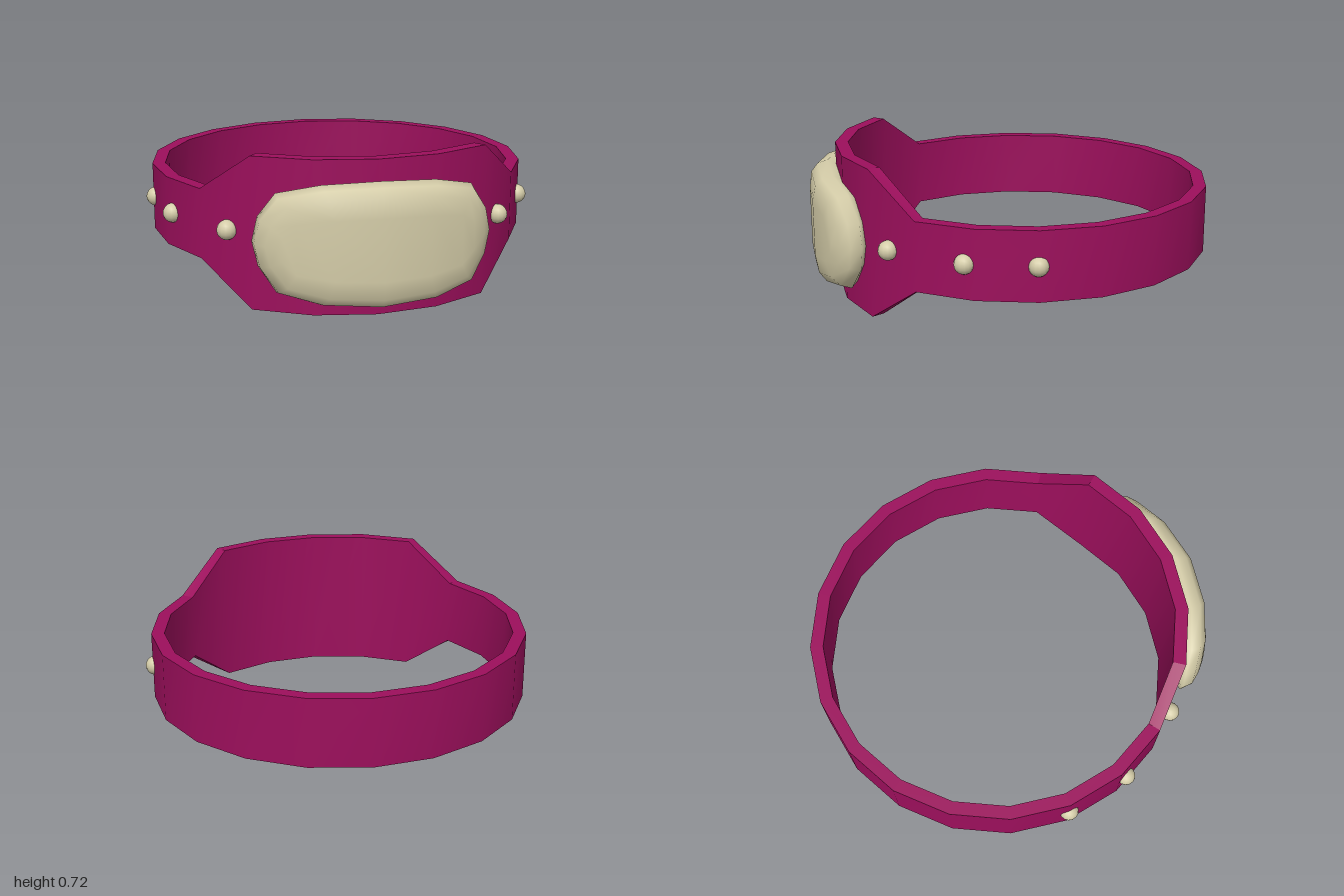
import * as THREE from 'three';
import { toCreasedNormals } from 'three/addons/utils/BufferGeometryUtils.js';

const SIDES = 20, OUTER = 0.93, INNER = 0.866, CENTRE_Z = -0.07;

function gridGeometry(points, quads) {
  const geo = new THREE.BufferGeometry();
  geo.setAttribute('position', new THREE.Float32BufferAttribute(points.flat(), 3));
  geo.setIndex(quads.flatMap(([a, b, c, d]) => [a, b, c, a, c, d]));
  return geo;
}

// Closed strap: a rectangular section swept round, taller over the front
function strapGeometry() {
  const points = [], quads = [];
  for (let i = 0; i < SIDES; i++) {
    const a = (i / SIDES) * Math.PI * 2;
    const wide = Math.min(i, SIDES - i) <= 2;
    const low = wide ? 0 : 0.195, high = wide ? 0.72 : 0.53;
    for (const [r, y] of [[OUTER, low], [OUTER, high], [INNER, high], [INNER, low]]) {
      points.push([Math.sin(a) * r, y, CENTRE_Z + Math.cos(a) * r]);
    }
    const n = (i + 1) % SIDES;
    for (let k = 0; k < 4; k++) {
      const m = (k + 1) % 4;
      quads.push([i * 4 + k, n * 4 + k, n * 4 + m, i * 4 + m]);
    }
  }
  return toCreasedNormals(gridGeometry(points, quads), 0.5);
}

// Domed plate: nested outlines rising from the strap to a curved front
function plateGeometry() {
  const quarter = [[0, 0.29, 0.9], [0.26, 0.276, 0.86], [0.45, 0.23, 0.78], [0.525, 0.115, 0.73], [0.55, 0, 0.72]];
  const lower = quarter.slice(0, 4).reverse().map(([x, y, z]) => [x, -y, z]);
  const half = [...quarter, ...lower];
  const outline = [...half, ...half.slice(1, 8).reverse().map(([x, y, z]) => [-x, y, z])];
  const n = outline.length;
  // x scale, y scale, share of the way from the rim to the front surface
  const loops = [[0.9, 0.9, null], [1, 1, 0], [0.995, 0.94, 0.55], [0.92, 0.8, 0.88], [0.84, 0.5, 1]];
  const points = [], quads = [];
  loops.forEach(([sx, sy, t], l) => {
    outline.forEach(([px, py, rim], i) => {
      const x = px * sx, front = 0.995 - 0.6 * x * x;
      const onStrap = CENTRE_Z + Math.sqrt(OUTER * OUTER - x * x) - 0.015;
      const z = t === null ? onStrap : THREE.MathUtils.lerp(rim, front, t);
      points.push([x, 0.34 + py * sy, z]);
      const j = (i + 1) % n;
      if (l > 0) quads.push([(l - 1) * n + i, l * n + i, l * n + j, (l - 1) * n + j]);
    });
  });
  // Front surface, in upright strips from one end to the other
  const base = (loops.length - 1) * n;
  const top = (i) => base + ((i + n) % n), bottom = (i) => base + ((8 - i + n) % n);
  for (let i = -4; i < 4; i++) quads.push([top(i), bottom(i), bottom(i + 1), top(i + 1)]);
  const geo = gridGeometry(points, quads);
  geo.computeVertexNormals();
  return geo;
}

export function createModel() {
  const group = new THREE.Group();
  const purple = new THREE.MeshStandardMaterial({ color: 0x9c0f5c });
  const cream = new THREE.MeshStandardMaterial({ color: 0xd4cca8, side: THREE.DoubleSide });
  const add = (name, geo, material) => {
    const mesh = new THREE.Mesh(geo, material);
    mesh.name = name;
    group.add(mesh);
    return mesh;
  };

  add('strap', strapGeometry(), purple);
  add('frontPlate', plateGeometry(), cream);

  // Three round studs on each side
  const stud = new THREE.SphereGeometry(0.047, 14, 10);
  for (const side of [1, -1]) {
    [[0.645, 0.6], [0.862, 0.262], [0.919, -0.065]].forEach(([x, z], i) => {
      add(`${side > 0 ? 'left' : 'right'}Stud${i + 1}`, stud, cream).position.set(side * x, 0.362, z);
    });
  }
  return group;
}
